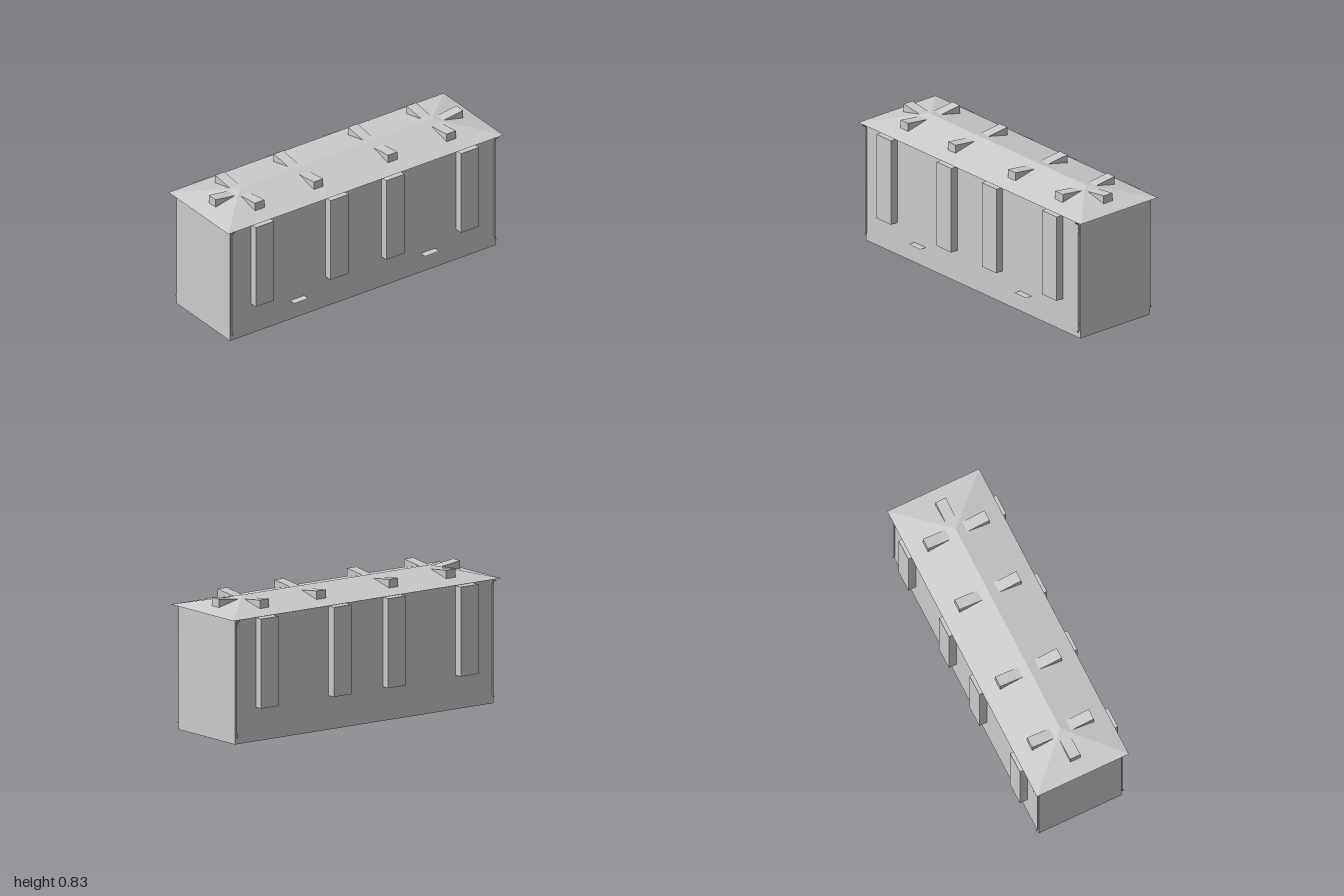
import * as THREE from 'three';

export function createModel() {
  const model = new THREE.Group();
  const grey = new THREE.MeshStandardMaterial({ color: 0xcccccc, flatShading: true, side: THREE.DoubleSide });
  const smooth = new THREE.MeshStandardMaterial({ color: 0xcccccc, side: THREE.DoubleSide });

  function add(name, geometry, material = grey, parent = model) {
    const mesh = new THREE.Mesh(geometry, material);
    mesh.name = name;
    parent.add(mesh);
    return mesh;
  }

  // Walls: a shell open at the bottom and under the roof
  const W = 0.965, D = 0.2725, H = 0.755;
  for (const s of [1, -1]) {
    const long = add(s > 0 ? 'frontWall' : 'backWall', new THREE.PlaneGeometry(2 * W, H));
    long.position.set(0, H / 2, s * D);
    long.rotation.y = s > 0 ? 0 : Math.PI;
    const end = add(s > 0 ? 'leftWall' : 'rightWall', new THREE.PlaneGeometry(2 * D, H));
    end.position.set(s * W, H / 2, 0);
    end.rotation.y = s * Math.PI / 2;
  }

  // Hipped roof: four eave corners and two ridge ends
  const E = 0.303, R = 0.7, ridgeY = 0.825;
  const roof = new THREE.BufferGeometry();
  roof.setAttribute('position', new THREE.Float32BufferAttribute([
    -1, H, E, 1, H, E, 1, H, -E, -1, H, -E, -R, ridgeY, 0, R, ridgeY, 0,
  ], 3));
  roof.setIndex([0, 1, 5, 0, 5, 4, 2, 3, 4, 2, 4, 5, 1, 2, 5, 3, 0, 4]);
  const flatRoof = roof.toNonIndexed();
  flatRoof.computeVertexNormals();
  add('roof', flatRoof);

  // Wedge dormers: a triangular side profile (distance out, height) extruded across
  function dormer(profile, width, x, turn) {
    const shape = new THREE.Shape(profile.map(([a, b]) => new THREE.Vector2(a, b)));
    const geometry = new THREE.ExtrudeGeometry(shape, { depth: width, bevelEnabled: false });
    geometry.translate(0, 0, -width / 2);
    const mesh = add('roofDormer', geometry);
    mesh.rotation.y = turn;
    mesh.position.x = x;
  }
  const sideProfile = [[0.203, 0.778], [0.203, 0.83], [0.055, 0.812]];
  const endProfile = [[0.9, 0.778], [0.9, 0.83], [0.757, 0.811]];
  for (const x of [-0.7, -0.273, 0.267, 0.692]) {
    for (const s of [1, -1]) dormer(sideProfile, 0.068, x, -s * Math.PI / 2);
  }
  dormer(endProfile, 0.068, 0, 0);
  dormer(endProfile, 0.068, 0, Math.PI);

  // Pilasters on the front and back walls
  for (const x of [-0.748, -0.206, 0.2, 0.743]) {
    for (const s of [1, -1]) {
      add('pilaster', new THREE.BoxGeometry(0.131, 0.541, 0.05)).position.set(x, 0.4755, s * 0.2975);
    }
  }

  // Thin ledges low on the front wall
  for (const x of [-0.478, 0.473]) {
    const ledge = add('ledge', new THREE.PlaneGeometry(0.104, 0.043));
    ledge.rotation.x = -Math.PI / 2;
    ledge.position.set(x, 0.128, D + 0.0215);
  }

  // Downpipes at the four corners, curling out at gutter and foot
  for (const x of [-0.957, 0.957]) {
    for (const s of [1, -1]) {
      const p = (y, z) => new THREE.Vector3(x, y, s * z);
      const path = new THREE.CurvePath();
      path.add(new THREE.CubicBezierCurve3(p(0.75, 0.306), p(0.746, 0.288), p(0.738, 0.277), p(0.715, 0.277)));
      path.add(new THREE.LineCurve3(p(0.715, 0.277), p(0.065, 0.277)));
      path.add(new THREE.CubicBezierCurve3(p(0.065, 0.277), p(0.052, 0.277), p(0.047, 0.28), p(0.043, 0.288)));
      const points = path.curves.flatMap((c, i) => c.getPoints(i === 1 ? 8 : 6).slice(i ? 1 : 0));
      const curve = new THREE.CatmullRomCurve3(points);
      add('downpipe', new THREE.TubeGeometry(curve, 80, 0.0045, 8), smooth);
    }
  }
  return model;
}
